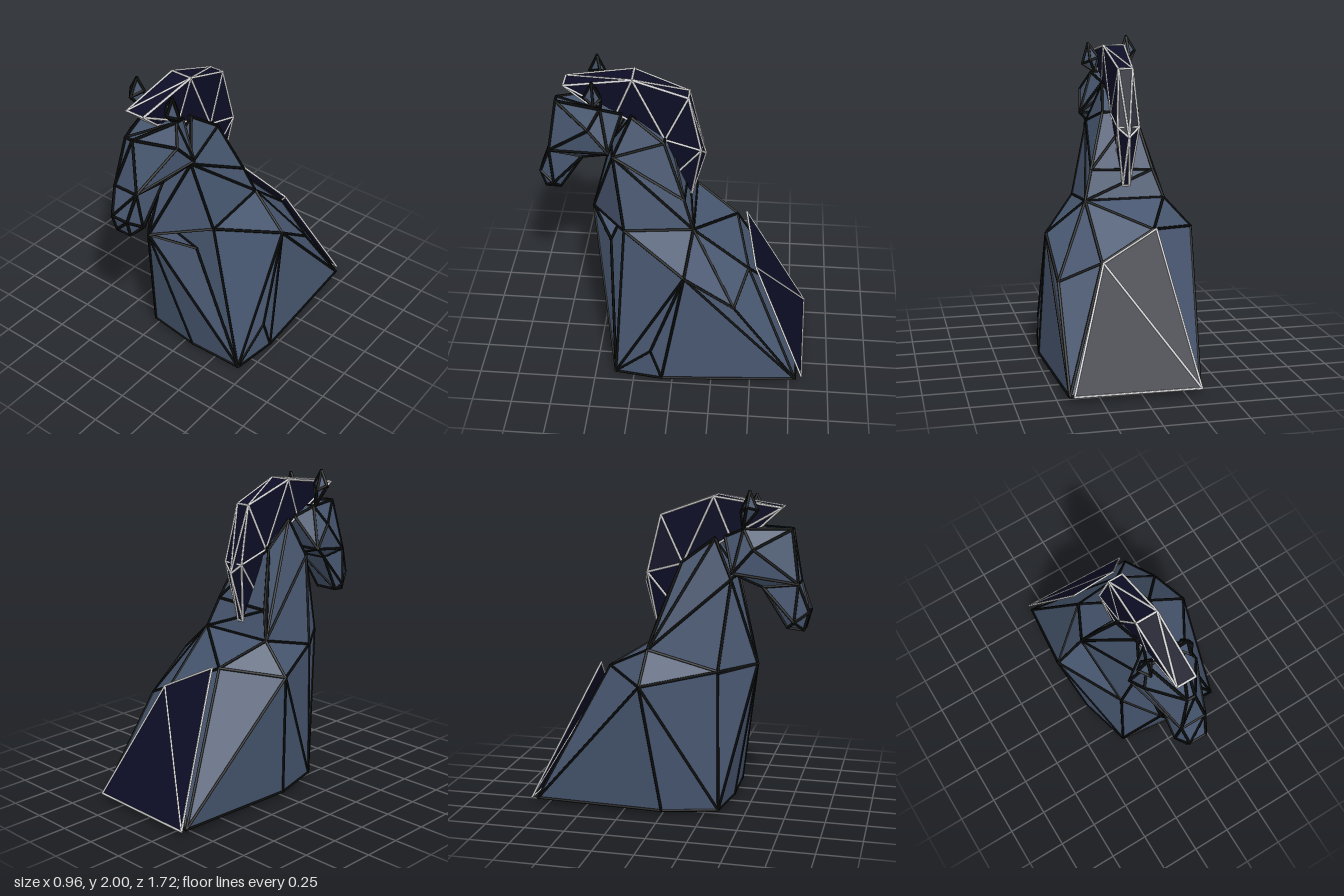
import * as THREE from 'three';
import { mergeGeometries } from 'three/addons/utils/BufferGeometryUtils.js';
import { ConvexGeometry } from 'three/addons/geometries/ConvexGeometry.js';

const CX = -0.065; // centre plane of head and mane
const UP = new THREE.Vector3(0, 1, 0);

// Mirrored pairs of points about the head's centre plane, from [halfWidth, y, z]
const pairs = (list) => list.flatMap(([w, y, z]) => [[CX - w, y, z], [CX + w, y, z]]);

// Faceted solid around a few corner points
const facets = (points) => new ConvexGeometry(points.map((p) => new THREE.Vector3(...p)));

// Thin round bars along every facet edge
function edgeBars(geometry, radius) {
  const pos = new THREE.EdgesGeometry(geometry, 0).attributes.position;
  const bars = [];
  for (let i = 0; i < pos.count; i += 2) {
    const a = new THREE.Vector3().fromBufferAttribute(pos, i);
    const b = new THREE.Vector3().fromBufferAttribute(pos, i + 1);
    const dir = b.clone().sub(a);
    const length = dir.length();
    const bar = new THREE.CylinderGeometry(radius, radius, length + radius, 6);
    bar.applyQuaternion(new THREE.Quaternion().setFromUnitVectors(UP, dir.normalize()));
    const mid = a.add(b).multiplyScalar(0.5);
    bars.push(bar.translate(mid.x, mid.y, mid.z));
  }
  return mergeGeometries(bars);
}

export function createModel() {
  const model = new THREE.Group();
  model.name = 'horseBust';

  const coat = new THREE.MeshStandardMaterial({ color: 0x47566f });
  coat.name = 'slate blue coat';
  const seam = new THREE.MeshStandardMaterial({ color: 0x08090a });
  seam.name = 'black seams';
  const hair = new THREE.MeshStandardMaterial({ color: 0x0d0d26, side: THREE.DoubleSide });
  hair.name = 'dark navy mane';
  const trim = new THREE.MeshStandardMaterial({ color: 0xd6d6d6 });
  trim.name = 'pale trim';

  // A part is its faceted skin plus bars along its edges
  function addPart(name, geometry, skin, line, radius) {
    const part = new THREE.Group();
    part.name = name;
    const surface = new THREE.Mesh(geometry, skin);
    surface.name = name + 'Surface';
    const edges = new THREE.Mesh(edgeBars(geometry, radius), line);
    edges.name = name + 'Edges';
    part.add(surface, edges);
    model.add(part);
  }
  const addBody = (name, points) => addPart(name, facets(points), coat, seam, 0.009);
  const addHair = (name, geometry) => addPart(name, geometry, hair, trim, 0.007);

  // Torso: base outline, flanks, shoulders and back
  addBody('torso', [
    [-0.27, 0.03, 0.34], [0.07, 0.02, 0.37], [0.43, 0.01, 0.37], [0.47, 0.01, 0.07],
    [0.43, 0.03, -0.79], [-0.34, 0.04, -0.81], [-0.36, 0.03, 0],
    [0.462, 0.23, 0.14], [0.44, 0.83, -0.07], [0.42, 0.6, -0.38],
    [0.17, 0.72, -0.46], [-0.17, 0.89, -0.37], [-0.475, 0.84, -0.11],
    [0.2, 1.03, -0.11], [-0.3, 1.03, -0.1], [0.2, 0.99, 0.32], [-0.27, 0.91, 0.33],
  ]);

  // Chest: a keel in front of the torso, leaving a groove on one side
  addBody('chest', [
    [-0.12, 0.94, 0.55], [-0.27, 0.9, 0.33], [-0.27, 0.03, 0.34], [0.07, 0.02, 0.38],
    [0.43, 0.015, 0.37], [0.28, 0.36, 0.4], [0.14, 0.87, 0.41],
  ]);

  // Neck, from the shoulders up to the poll
  addBody('neck', [
    [-0.12, 0.94, 0.55], [0.2, 0.99, 0.32], [-0.27, 0.91, 0.33],
    [0.2, 1.03, -0.11], [-0.3, 1.03, -0.1], [0.15, 1.21, -0.05], [-0.24, 1.2, -0.05],
    [0.09, 1.46, 0.39], [-0.18, 1.46, 0.39], [CX, 1.48, 0.41],
    [0.05, 1.55, 0.08], [-0.15, 1.55, 0.08], [0.01, 1.7, 0.28], [-0.13, 1.7, 0.28],
  ]);

  // Head: poll, crown, forehead, cheeks, jaw, bridge
  addBody('skull', pairs([
    [0.06, 1.71, 0.34], [0.11, 1.765, 0.46], [0.025, 1.76, 0.74], [0.17, 1.65, 0.53],
    [0.195, 1.51, 0.41], [0.1, 1.42, 0.58], [0.08, 1.44, 0.79],
  ]));
  addBody('muzzle', pairs([
    [0.08, 1.44, 0.79], [0.1, 1.42, 0.58], [0.055, 1.27, 0.855],
    [0.1, 1.21, 0.77], [0.05, 1.16, 0.825], [0.075, 1.175, 0.73],
  ]));

  // Ears: tip, four waist corners, root
  addBody('rightEar', [
    [-0.2, 1.99, 0.5], [-0.255, 1.9, 0.49], [-0.165, 1.91, 0.48],
    [-0.21, 1.88, 0.55], [-0.21, 1.87, 0.45], [-0.19, 1.77, 0.46],
  ]);
  addBody('leftEar', [
    [0.055, 1.95, 0.5], [0.095, 1.82, 0.49], [-0.01, 1.86, 0.48],
    [0.05, 1.85, 0.55], [0.05, 1.84, 0.45], [0.02, 1.77, 0.46],
  ]);

  // Mane: a crest of faceted segments between successive sections
  const sections = [
    pairs([[0.06, 1.89, 0.68], [0.045, 1.77, 0.55]]),
    pairs([[0.068, 1.95, 0.27], [0.055, 1.71, 0.37]]),
    pairs([[0.045, 1.83, -0.06], [0.06, 1.54, 0.08]]),
    [[CX, 1.42, -0.165], ...pairs([[0.068, 1.48, -0.14], [0.04, 1.3, 0]])],
    pairs([[0.02, 1.11, -0.08]]),
  ];
  for (let i = 0; i < sections.length - 1; i++) {
    addHair('maneSegment' + (i + 1), facets([...sections[i], ...sections[i + 1]]));
  }

  // Back plate: a flat sheet lying over the rump
  const a = [-0.34, 0.04, -0.85], b = [0.41, 0.04, -0.83];
  const c = [0.17, 0.73, -0.505], d = [-0.17, 0.905, -0.43];
  const plate = new THREE.BufferGeometry();
  plate.setAttribute('position', new THREE.Float32BufferAttribute([b, a, c, a, d, c].flat(), 3));
  plate.computeVertexNormals();
  addHair('backPlate', plate);

  return model;
}
